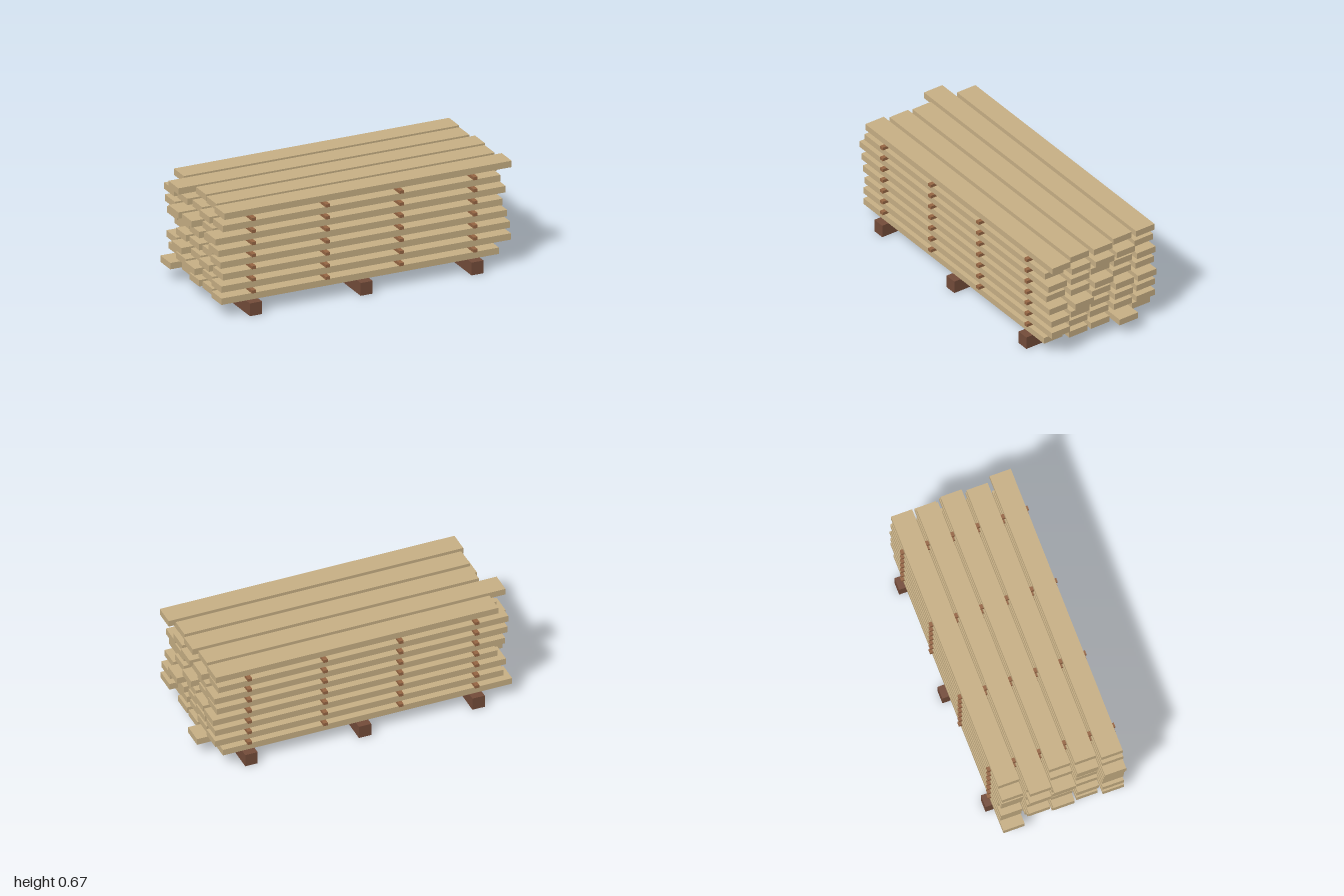
import * as THREE from 'three';

// Plank ends [left, right] per layer, bottom to top; five planks from front to back
const LAYERS = [
  [[-0.95, 0.895], [-0.93, 0.93], [-0.94, 0.93], [-0.91, 1.0], [-0.975, 0.9]],
  [[-0.95, 0.975], [-0.93, 0.93], [-0.97, 0.92], [-0.95, 0.94], [-0.92, 0.95]],
  [[-0.94, 0.97], [-0.955, 0.95], [-0.93, 0.93], [-0.98, 0.95], [-0.935, 0.95]],
  [[-0.955, 0.95], [-0.93, 0.995], [-0.94, 0.94], [-0.95, 0.96], [-0.88, 0.965]],
  [[-0.97, 0.92], [-0.92, 0.95], [-0.94, 0.97], [-0.93, 0.93], [-0.93, 0.94]],
  [[-0.99, 0.94], [-0.93, 0.95], [-0.99, 0.93], [-1.0, 0.94], [-0.945, 0.955]],
  [[-0.94, 0.905], [-0.95, 0.96], [-0.92, 0.98], [-0.94, 0.97], [-0.95, 0.93]],
  [[-0.93, 0.98], [-0.905, 0.945], [-0.895, 0.96], [-1.0, 0.935], [-0.885, 0.945]],
];
const PITCH = 0.0777; // height of one layer with its spacers

export function createModel() {
  const material = (name, color) => {
    const m = new THREE.MeshStandardMaterial({ color });
    m.name = name;
    return m;
  };
  const plankWood = material('pale plank wood', 0xc8b085);
  const spacerWood = material('brown spacer wood', 0x966644);
  const bearerWood = material('dark bearer wood', 0x744c3a);

  const model = new THREE.Group();
  model.name = 'lumberStack';
  const addBox = (parent, name, mat, w, h, d, x, y, z) => {
    const mesh = new THREE.Mesh(new THREE.BoxGeometry(w, h, d), mat);
    mesh.name = name;
    mesh.position.set(x, y, z);
    parent.add(mesh);
  };

  // Ground bearers
  for (const x of [-0.74, -0.004, 0.733]) {
    addBox(model, 'bearer', bearerWood, 0.08, 0.082, 0.86, x, 0.041, 0);
  }

  LAYERS.forEach((planks, i) => {
    const layer = new THREE.Group();
    layer.name = 'layer' + (i + 1);
    layer.position.y = 0.108 + i * PITCH;
    model.add(layer);

    // Planks with staggered ends
    planks.forEach(([left, right], j) => {
      addBox(layer, 'plank', plankWood, right - left, 0.041, 0.135,
        (left + right) / 2, 0, 0.321 - j * 0.1605);
    });

    // Spacers between this layer and the next
    if (i < LAYERS.length - 1) {
      for (const x of [-0.741, -0.25, 0.241, 0.732]) {
        addBox(layer, 'spacer', spacerWood, 0.027, 0.0195, 0.813, x, 0.0345, 0);
      }
    }
  });
  return model;
}
